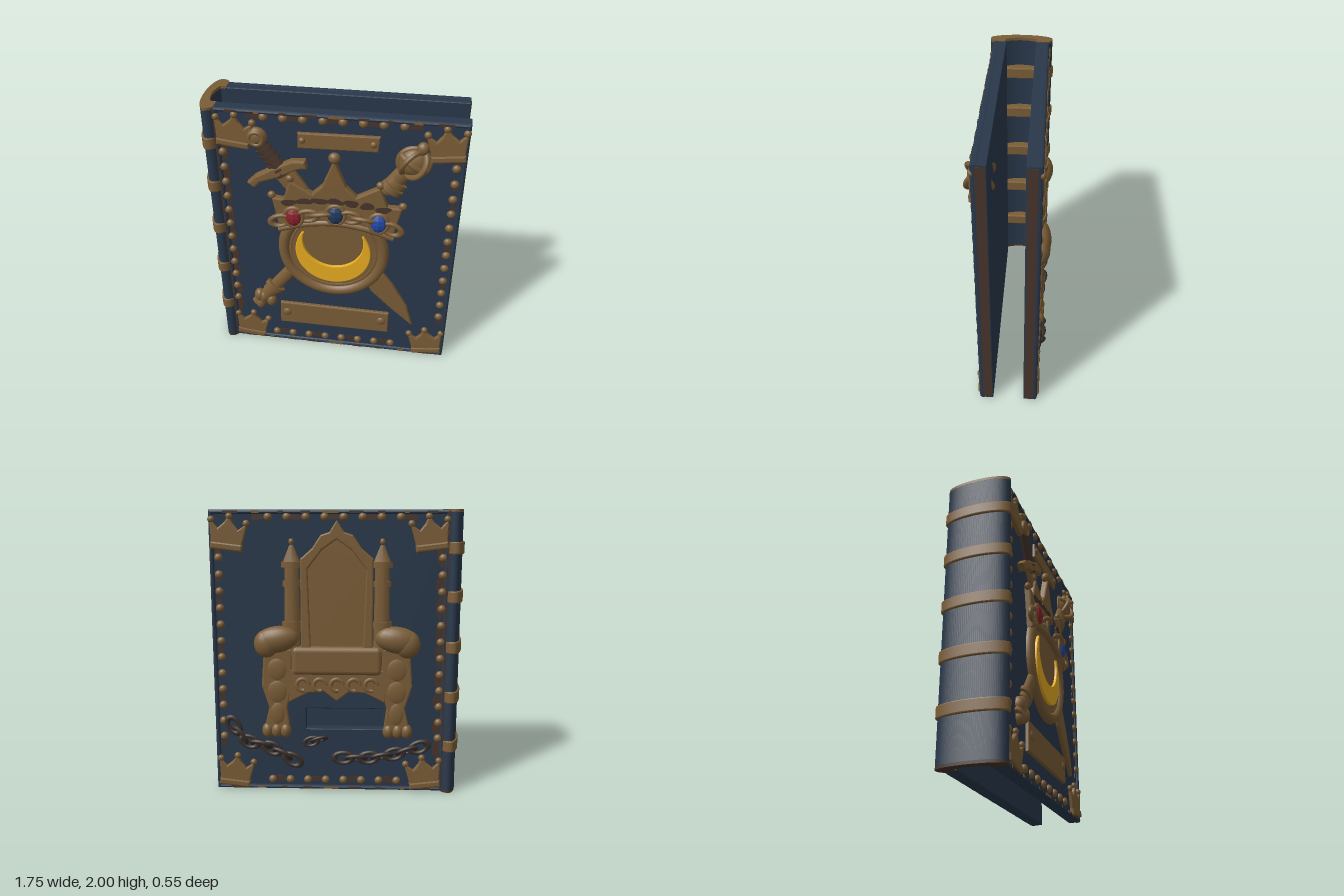
import * as THREE from 'three';
import { RoundedBoxGeometry } from 'three/addons/geometries/RoundedBoxGeometry.js';

const mat = (name, color) => Object.assign(new THREE.MeshStandardMaterial({ color }), { name });
const M = {
  blue: mat('blueLeather', 0x29384b), bronze: mat('bronze', 0x7b5d37), brown: mat('brownWear', 0x47352c),
  dark: mat('darkIron', 0x3a302b), yellow: mat('yellowGold', 0xeeb222), red: mat('redGem', 0x87232a),
  sapphire: mat('blueGem', 0x2349a6), deep: mat('deepBlueGem', 0x22395e),
};
const BASE = 0.185, INNER = 0.113; // outer and inner face of each cover
const V = (x, y, z = 0) => new THREE.Vector3(x, y, z);

function add(g, name, geo, m, x = 0, y = 0, z = 0) {
  const o = new THREE.Mesh(geo, m);
  o.name = name;
  o.position.set(x, y, z);
  g.add(o);
  return o;
}
const poly = pts => new THREE.Shape(pts.map(p => new THREE.Vector2(p[0], p[1])));
const rect = (x0, y0, x1, y1) => poly([[x0, y0], [x1, y0], [x1, y1], [x0, y1]]);
const disc = (x, y, r) => new THREE.Shape().absarc(x, y, r, 0, Math.PI * 2);
const extrude = (shape, depth, b = 0) => new THREE.ExtrudeGeometry(shape, {
  depth: depth - b, curveSegments: 24, bevelEnabled: b > 0, bevelSize: b, bevelThickness: b, bevelOffset: -b, bevelSegments: 2 });

// flat copy of a shape on the cover's inner face
const inside = (g, name, shape, m, layer = 1) => add(g, name + 'Inside', extrude(shape, 0.002 * layer), m, 0, 0, INNER - 0.002 * layer);
// raised shape on a cover, with its flat copy when layer > 0
function relief(g, name, shape, m, z, depth, bevel = 0.012, layer = 0) {
  add(g, name, extrude(shape, depth, bevel), m, 0, 0, z);
  if (layer) inside(g, name, shape, m, layer);
}
// flattened round bar lying on the cover between two points
function rod(g, name, a, b, r0, r1, m, z = BASE + 0.005, sides = 14) {
  const d = V(b[0] - a[0], b[1] - a[1]);
  const o = add(g, name, new THREE.CylinderGeometry(r1, r0, d.length(), sides), m, (a[0] + b[0]) / 2, (a[1] + b[1]) / 2, z);
  o.rotation.z = Math.atan2(-d.x, d.y);
  o.scale.z = 0.65;
}
function ball(g, name, x, y, z, rx, ry, rz, m) {
  const o = add(g, name, new THREE.SphereGeometry(1, 18, 12), m, x, y, z);
  o.scale.set(rx, ry, rz);
  return o;
}
// irregular thin patch of worn leather
function wear(g, x, y, rx, ry, seed, z = BASE) {
  const pts = [];
  for (let i = 0; i < 12; i++) {
    const a = i / 12 * Math.PI * 2, k = 0.85 + 0.12 * Math.sin(seed * 7.3 + a * 2) + 0.1 * Math.sin(seed * 3.1 + a * 3);
    pts.push([x + rx * k * Math.cos(a), y + ry * k * Math.sin(a)]);
  }
  add(g, 'wearPatch', extrude(poly(pts), 0.003), M.brown, 0, 0, z);
}
// chain of alternating flat and tilted links along a curve
function chain(g, name, pts, n, r, z, m) {
  const curve = new THREE.CatmullRomCurve3(pts.map(p => V(p[0], p[1])));
  const geo = new THREE.TorusGeometry(r, r * 0.36, 8, 16).scale(1.4, 0.9, 0.9);
  for (let i = 0; i < n; i++) {
    const t = (i + 0.5) / n, p = curve.getPointAt(t), d = curve.getTangentAt(t);
    const o = add(g, name, geo, m, p.x, p.y, z);
    o.rotation.set(i % 2 ? 0.9 : 0.1, 0, Math.atan2(d.y, d.x), 'ZYX');
  }
}

// cover board, rounded rim, studs and corner crowns; s = -1 mirrors it for the back
function cover(s, hole) {
  const g = new THREE.Group();
  const X = x => s * x, lo = Math.min(X(-0.76), X(0.87)), hi = Math.max(X(-0.76), X(0.87));
  const board = rect(lo, 0.005, hi, 1.995);
  if (hole) board.holes.push(hole);
  add(g, 'coverBoard', extrude(board, BASE - INNER, 0.006), M.blue, 0, 0, INNER);
  const rim = rect(lo, 0.003, hi, 1.997);
  rim.holes.push(rect(lo + 0.03, 0.033, hi - 0.03, 1.967));
  add(g, 'coverRim', extrude(rim, 0.035, 0.014), M.blue, 0, 0, 0.168);
  add(g, 'foreEdge', new THREE.BoxGeometry(0.006, 1.97, 0.06), M.brown, X(0.869), 1, 0.145);
  add(g, 'hingeStrip', new THREE.BoxGeometry(0.035, 1.98, 0.02), M.brown, X(-0.765), 1, 0.195);
  // worn leather around the studs and along the rim
  for (let i = 0; i < 9; i++) {
    const w = 0.07 + 0.04 * Math.sin(i * 5);
    for (const y of [0.018, 1.982]) add(g, 'rimWear', new THREE.BoxGeometry(w, 0.016, 0.004), i % 3 === 1 ? M.bronze : M.brown, X(-0.64 + i * 0.17), y, 0.203);
    wear(g, X(-0.71), 0.32 + i * 0.17, 0.035, 0.08, i);
    wear(g, X(-0.5 + i * 0.13), i % 2 ? 0.08 : 1.95, 0.055, 0.025, i + 3);
    wear(g, X(0.815), 0.35 + i * 0.17, 0.025, 0.035, i + 5);
  }
  const studs = [];
  for (let i = 0; i < 8; i++) for (const y of [0.075, 1.95]) studs.push([-0.43 + i * 0.128, y]);
  for (let i = 0; i < 12; i++) for (const x of [-0.72, 0.81]) studs.push([x, 0.4 + i * 0.116]);
  for (const [x, y] of studs) {
    ball(g, 'stud', X(x), y, BASE + 0.004, 0.029, 0.029, 0.024, M.bronze);
    inside(g, 'stud', disc(X(x), y, 0.022), M.bronze);
  }
  // upright corner crowns leaning a little
  const outline = poly([[-0.1, -0.12], [0.1, -0.12], [0.13, 0.07], [0.07, 0.02], [0.03, 0.06], [0, 0.11], [-0.03, 0.06], [-0.07, 0.02], [-0.13, 0.07]]);
  for (const [x, y, tilt] of [[-0.63, 1.85, -0.12], [0.74, 1.85, 0.12], [-0.62, 0.15, -0.12], [0.73, 0.15, 0.12]]) {
    const c = new THREE.Group();
    c.name = 'cornerCrown';
    c.position.set(X(x), y, 0);
    c.rotation.z = s * tilt;
    relief(c, 'cornerCrownBody', outline, M.bronze, BASE, 0.025, 0.01, 1);
    relief(c, 'cornerCrownBand', rect(-0.11, -0.125, 0.11, -0.075), M.bronze, BASE, 0.032);
    for (const [bx, by] of [[-0.12, 0.07], [0, 0.105], [0.12, 0.07]]) ball(c, 'cornerCrownBead', bx, by, BASE + 0.012, 0.024, 0.024, 0.02, M.bronze);
    g.add(c);
  }
  return g;
}

function frontCover() {
  const g = cover(1);
  g.name = 'frontCover';
  // name plates with rivets
  relief(g, 'upperPlate', poly([[-0.21, 1.75], [0.31, 1.76], [0.32, 1.87], [-0.21, 1.86]]), M.bronze, BASE, 0.022, 0.008, 1);
  relief(g, 'lowerPlate', poly([[-0.39, 0.2], [0.44, 0.2], [0.44, 0.39], [-0.385, 0.4]]), M.bronze, BASE, 0.025, 0.008, 1);
  for (const [x, y, r] of [[-0.18, 1.81, 0.022], [0.28, 1.815, 0.022], [-0.335, 0.31, 0.034], [0.385, 0.31, 0.034]])
    ball(g, 'rivet', x, y, BASE + 0.02, r, r, 0.018, M.bronze);

  // sword, passing behind crown and medallion
  relief(g, 'swordBlade', poly([[0.27, 0.66], [0.3, 0.6], [0.45, 0.45], [0.62, 0.3], [0.57, 0.48], [0.46, 0.67], [0.38, 0.78]]), M.bronze, BASE, 0.03, 0.014, 1);
  relief(g, 'swordBladeTop', poly([[-0.37, 1.52], [-0.28, 1.4], [-0.15, 1.45], [-0.25, 1.6]]), M.bronze, BASE, 0.03, 0.012, 1);
  rod(g, 'swordGrip', [-0.47, 1.78], [-0.31, 1.54], 0.048, 0.055, M.brown, BASE + 0.015);
  for (let i = 0; i < 5; i++) {
    const x = -0.44 + i * 0.024, y = 1.735 - i * 0.036;
    rod(g, 'gripWrap', [x, y], [x + 0.008, y - 0.012], 0.06, 0.06, M.brown, BASE + 0.015);
  }
  const guard = poly([[-0.56, 1.47], [-0.51, 1.435], [-0.47, 1.48], [-0.35, 1.525], [-0.21, 1.6], [-0.15, 1.61], [-0.16, 1.67], [-0.25, 1.665], [-0.38, 1.6], [-0.5, 1.53]]);
  relief(g, 'swordGuard', guard, M.bronze, BASE, 0.05, 0.014, 1);
  ball(g, 'swordPommel', -0.48, 1.805, BASE + 0.005, 0.07, 0.07, 0.045, M.bronze);
  add(g, 'pommelRing', new THREE.TorusGeometry(0.045, 0.016, 8, 20), M.bronze, -0.48, 1.805, BASE + 0.035);

  // sceptre, passing behind crown and medallion
  rod(g, 'sceptreFootShaft', [-0.46, 0.5], [-0.29, 0.72], 0.05, 0.05, M.bronze);
  rod(g, 'sceptreHeadShaft', [0.36, 1.47], [0.48, 1.62], 0.052, 0.06, M.bronze);
  for (const [x, y, r] of [[-0.42, 0.55, 0.075], [-0.45, 0.51, 0.06], [0.41, 1.5, 0.08], [0.44, 1.54, 0.07]])
    rod(g, 'sceptreCollar', [x - 0.014, y - 0.017], [x + 0.014, y + 0.017], r, r, M.bronze);
  rod(g, 'sceptreFoot', [-0.56, 0.365], [-0.46, 0.5], 0.055, 0.05, M.bronze, BASE + 0.01);
  for (const [x, y] of [[-0.545, 0.45], [-0.51, 0.44], [-0.455, 0.41], [-0.54, 0.375]]) ball(g, 'footLobe', x, y, BASE + 0.01, 0.04, 0.055, 0.042, M.bronze);
  ball(g, 'sceptreGlobe', 0.54, 1.7, BASE, 0.1, 0.1, 0.065, M.bronze);
  for (const a of [-0.9, 0, 0.9]) {
    const o = add(g, 'globeCage', new THREE.TorusGeometry(0.1, 0.02, 8, 24).scale(1, 1, 0.8), M.bronze, 0.54, 1.7, BASE);
    o.rotation.set(0, a, -0.6, 'ZYX');
  }
  const belt = add(g, 'globeBelt', new THREE.TorusGeometry(0.1, 0.02, 8, 24).rotateX(Math.PI / 2).scale(1, 1, 0.65), M.bronze, 0.54, 1.7, BASE);
  belt.rotation.z = -0.6;
  ball(g, 'sceptreFinial', 0.59, 1.81, BASE + 0.015, 0.04, 0.045, 0.035, M.bronze);

  // medallion with crescent moon
  const cx = 0.02, cy = 0.93;
  relief(g, 'medallionDisc', disc(cx, cy, 0.34), M.bronze, BASE, 0.02, 0.006, 1);
  for (const [R, r] of [[0.355, 0.042], [0.305, 0.018]])
    add(g, 'medallionRing', new THREE.TorusGeometry(R, r, 10, 56), M.bronze, cx, cy, BASE + 0.006);
  const a = Math.atan2(0.155, 0.21), b = Math.atan2(0.065, 0.21);
  const moon = new THREE.Shape();
  moon.absarc(cx, 0.935, 0.268, Math.PI - a, a + Math.PI * 2, false);
  moon.absarc(cx, 1.025, 0.215, b, Math.PI - b, true);
  relief(g, 'crescentMoon', moon, M.yellow, BASE + 0.01, 0.03, 0.006, 2);

  // large crown with arched foot
  const tips = [[-0.4, 1.37], [-0.27, 1.51], [0.03, 1.69], [0.335, 1.51], [0.49, 1.36]];
  const crown = poly([[-0.35, 1.09], tips[0], [-0.32, 1.36], tips[1], [-0.12, 1.42], [-0.05, 1.49], tips[2],
    [0.11, 1.49], [0.18, 1.42], tips[3], [0.39, 1.36], tips[4], [0.43, 1.09]].reverse());
  crown.quadraticCurveTo(-0.1, 1.18, 0.04, 1.18);
  crown.quadraticCurveTo(0.25, 1.18, 0.43, 1.09);
  relief(g, 'crownBody', crown, M.bronze, BASE, 0.045, 0.012, 1);
  tips.forEach(([x, y], i) => {
    const r = i === 2 ? 0.04 : 0.028;
    ball(g, 'crownBead', x, y + 0.01, BASE + 0.025, r, r, r * 0.8, M.bronze);
  });
  for (let i = 0; i < 7; i++) wear(g, -0.28 + i * 0.107, 1.375 - 0.004 * (i - 3) ** 2, 0.065, 0.03, i, BASE + 0.045);
  const arc = (dy, r, name) => add(g, name, new THREE.TubeGeometry(new THREE.CatmullRomCurve3(
    [V(-0.36, 1.11 + dy), V(-0.17, 1.17 + dy), V(0.04, 1.195 + dy), V(0.25, 1.17 + dy), V(0.44, 1.11 + dy)]), 30, r, 8), M.bronze, 0, 0, BASE + 0.03);
  arc(0, 0.028, 'crownLowerRim');
  arc(0.15, 0.016, 'crownUpperRim');
  // chain slung between three set gems
  for (const [p, q, n] of [[[-0.39, 1.17], [-0.3, 1.2], 1], [[-0.2, 1.235], [-0.01, 1.265], 2], [[0.09, 1.265], [0.28, 1.24], 2], [[0.38, 1.21], [0.47, 1.17], 1]])
    chain(g, 'crownChain', [p, q], n, 0.05, BASE + 0.045, M.bronze);
  for (const [x, y, m] of [[-0.25, 1.225, M.red], [0.04, 1.27, M.deep], [0.335, 1.23, M.sapphire]]) {
    const gem = add(g, 'gem', new THREE.SphereGeometry(1, 8, 6).toNonIndexed(), m, x, y, BASE + 0.047);
    gem.geometry.computeVertexNormals();
    gem.scale.set(0.06, 0.073, 0.035);
    add(g, 'gemSetting', new THREE.TorusGeometry(0.064, 0.015, 8, 20).scale(1, 1.15, 1), M.bronze, x, y, BASE + 0.045);
    inside(g, 'gem', disc(x, y, 0.06), m, 2);
  }
  return g;
}

function backCover() {
  const g = cover(-1, rect(-0.22, 0.46, 0.33, 0.61)); // opening below the throne
  g.name = 'backCover';
  g.rotation.y = Math.PI;
  // pointed throne back
  const outer = poly([[-0.25, 0.95], [0.25, 0.95], [0.25, 1.67], [0.17, 1.74], [0.11, 1.83], [0.05, 1.85], [0, 1.93], [-0.05, 1.85], [-0.11, 1.83], [-0.17, 1.74], [-0.25, 1.67]]);
  const inner = poly([[-0.18, 1], [0.18, 1], [0.2, 1.6], [0.1, 1.73], [0, 1.8], [-0.1, 1.73], [-0.2, 1.6]]);
  relief(g, 'throneBackPanel', outer.clone(), M.bronze, BASE, 0.01, 0.003, 1);
  outer.holes.push(inner);
  relief(g, 'throneBackFrame', outer, M.bronze, BASE, 0.028, 0.01);
  // cushion and apron with scroll carving
  add(g, 'throneSeat', new RoundedBoxGeometry(0.64, 0.21, 0.09, 3, 0.04), M.bronze, 0, 0.96, BASE);
  const apron = poly([[-0.34, 0.9], [-0.34, 0.66], [-0.2, 0.73], [-0.09, 0.74], [0, 0.67], [0.09, 0.74], [0.2, 0.73], [0.34, 0.66], [0.34, 0.9]].reverse());
  relief(g, 'throneApron', apron, M.bronze, BASE, 0.03, 0.01, 1);
  for (const x of [-0.24, -0.12, 0, 0.12, 0.24]) add(g, 'apronScroll', new THREE.TorusGeometry(0.042, 0.016, 8, 18, 5), M.bronze, x, 0.79, BASE + 0.025);
  for (const s of [-1, 1]) {
    // back post with turned collars and spire
    rod(g, 'thronePost', [s * 0.31, 1], [s * 0.31, 1.62], 0.065, 0.055, M.bronze, BASE - 0.01, 8);
    for (const [y, r] of [[1.22, 0.078], [1.5, 0.07], [1.63, 0.078]]) rod(g, 'postCollar', [s * 0.31, y - 0.02], [s * 0.31, y + 0.02], r, r, M.bronze, BASE - 0.01, 8);
    rod(g, 'postSpire', [s * 0.31, 1.65], [s * 0.31, 1.79], 0.065, 0.008, M.bronze, BASE - 0.01, 8);
    ball(g, 'spireBead', s * 0.31, 1.785, BASE + 0.01, 0.018, 0.022, 0.015, M.bronze);
    // scrolled arm, carved leg and clawed foot
    const arm = ball(g, 'throneArm', s * 0.42, 1.11, BASE + 0.01, 0.16, 0.095, 0.07, M.bronze);
    arm.rotation.z = -s * 0.15;
    ball(g, 'armScroll', s * 0.49, 1.08, BASE + 0.01, 0.09, 0.1, 0.065, M.bronze);
    const leg = poly([[0.33, 0.45], [0.52, 0.45], [0.48, 0.62], [0.53, 0.78], [0.51, 1.05], [0.31, 1.05], [0.31, 0.78], [0.35, 0.62]].map(p => [p[0] * s, p[1]]));
    relief(g, 'throneLeg', leg, M.bronze, BASE, 0.03, 0.012, 1);
    for (const [y, r] of [[0.9, 0.08], [0.74, 0.08], [0.58, 0.06]]) ball(g, 'legCarving', s * 0.42, y, BASE + 0.02, r, 0.09, 0.02, M.bronze);
    for (const d of [-0.065, 0, 0.065]) ball(g, 'footClaw', s * 0.43 + d, 0.45, BASE + 0.01, 0.04, 0.055, 0.04, M.bronze);
  }
  // broken chains below
  chain(g, 'ironChain', [[-0.76, 0.52], [-0.66, 0.38], [-0.5, 0.33], [-0.28, 0.21]], 7, 0.046, BASE + 0.02, M.dark);
  chain(g, 'ironChain', [[0, 0.25], [0.2, 0.25], [0.4, 0.28], [0.63, 0.35]], 7, 0.046, BASE + 0.02, M.dark);
  chain(g, 'looseLink', [[-0.21, 0.36], [-0.1, 0.39]], 2, 0.036, BASE + 0.015, M.dark);
  return g;
}

// curved hollow spine, bulging past the covers, with solid raised bands
function spine() {
  const g = new THREE.Group();
  g.name = 'spine';
  const outline = (x0, bulge, h) => {
    const s = new THREE.Shape();
    s.moveTo(-0.75, 0.195);
    s.quadraticCurveTo(-0.77, h, x0 + 0.02, h);
    s.bezierCurveTo(x0 - 0.025, h, x0 - bulge, h * 0.45, x0 - bulge, 0);
    s.bezierCurveTo(x0 - bulge, -h * 0.45, x0 - 0.025, -h, x0 + 0.02, -h);
    s.quadraticCurveTo(-0.77, -h, -0.75, -0.195);
    return s;
  };
  const shell = (bulge, hollow) => { // open toward the covers
    const s = outline(-0.82, bulge, 0.225);
    s.lineTo(-0.75, -0.115);
    s.lineTo(-0.79, -0.115);
    s.quadraticCurveTo(-0.79 - hollow, 0, -0.79, 0.115);
    s.lineTo(-0.75, 0.115);
    return s;
  };
  const slab = (name, shape, y, h, m, b = 0) => {
    const o = add(g, name, extrude(shape, h, b), m, 0, y, 0);
    o.rotation.x = -Math.PI / 2;
  };
  slab('spineShell', shell(0.045, 0.05), 0.015, 1.97, M.blue);
  slab('spineFoot', shell(0.046, 0.048), 0, 0.02, M.brown);
  slab('spineHead', shell(0.046, 0.048), 1.98, 0.02, M.bronze);
  for (const y of [1.74, 1.41, 1.06, 0.705, 0.345])
    slab('spineBand', outline(-0.828, 0.052, 0.236), y - 0.03, 0.076, M.bronze, 0.008);
  return g;
}

export function createModel() {
  const book = new THREE.Group();
  book.name = 'ornateBookCover';
  book.add(frontCover(), backCover(), spine());
  return book;
}
